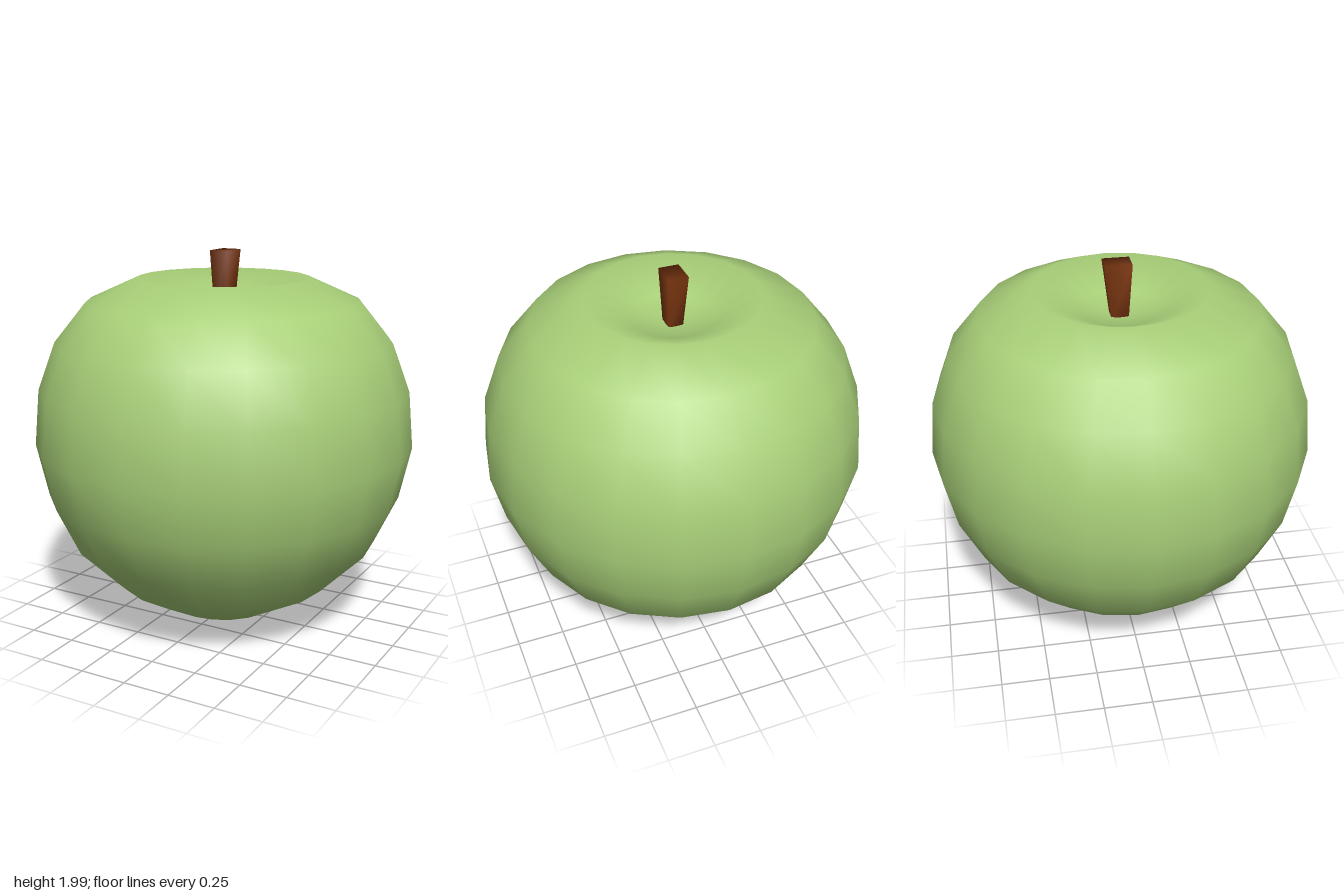
import * as THREE from 'three';
import { mergeVertices } from 'three/addons/utils/BufferGeometryUtils.js';

// Weld all corners so the shading is smooth over the whole part
function smooth(geometry) {
  geometry.deleteAttribute('normal');
  geometry.deleteAttribute('uv');
  const welded = mergeVertices(geometry, 1e-4);
  welded.computeVertexNormals();
  return welded;
}

export function createModel() {
  const model = new THREE.Group();
  model.name = 'apple';

  const green = new THREE.MeshStandardMaterial({ color: 0xa8cf78 });
  green.name = 'apple green';
  const brown = new THREE.MeshStandardMaterial({ color: 0x7a3610 });
  brown.name = 'stem brown';

  // Fruit: radius and height from the bottom tip, over the rim, into the dimple
  const profile = [
    [0, 0], [0.31, 0.065], [0.585, 0.22], [0.82, 0.455], [0.94, 0.71],
    [1, 0.985], [0.973, 1.28], [0.88, 1.53], [0.718, 1.73], [0.445, 1.853],
    [0.21, 1.74], [0, 1.7],
  ].map(([r, y]) => new THREE.Vector2(r, y));
  const fruit = new THREE.Mesh(smooth(new THREE.LatheGeometry(profile, 20)), green);
  fruit.name = 'fruit';
  model.add(fruit);

  // Stem: a four-sided post that widens upward and leans slightly back
  const bottom = 1.69, top = 1.99;
  const stemGeometry = new THREE.BoxGeometry(1, 1, 1);
  const p = stemGeometry.attributes.position;
  for (let i = 0; i < p.count; i++) {
    const up = p.getY(i) > 0;
    p.setXYZ(
      i,
      p.getX(i) * (up ? 0.105 : 0.074),
      up ? top : bottom,
      p.getZ(i) * (up ? 0.138 : 0.086) - (up ? 0.015 : 0.005),
    );
  }
  const stem = new THREE.Mesh(smooth(stemGeometry), brown);
  stem.name = 'stem';
  model.add(stem);

  return model;
}
